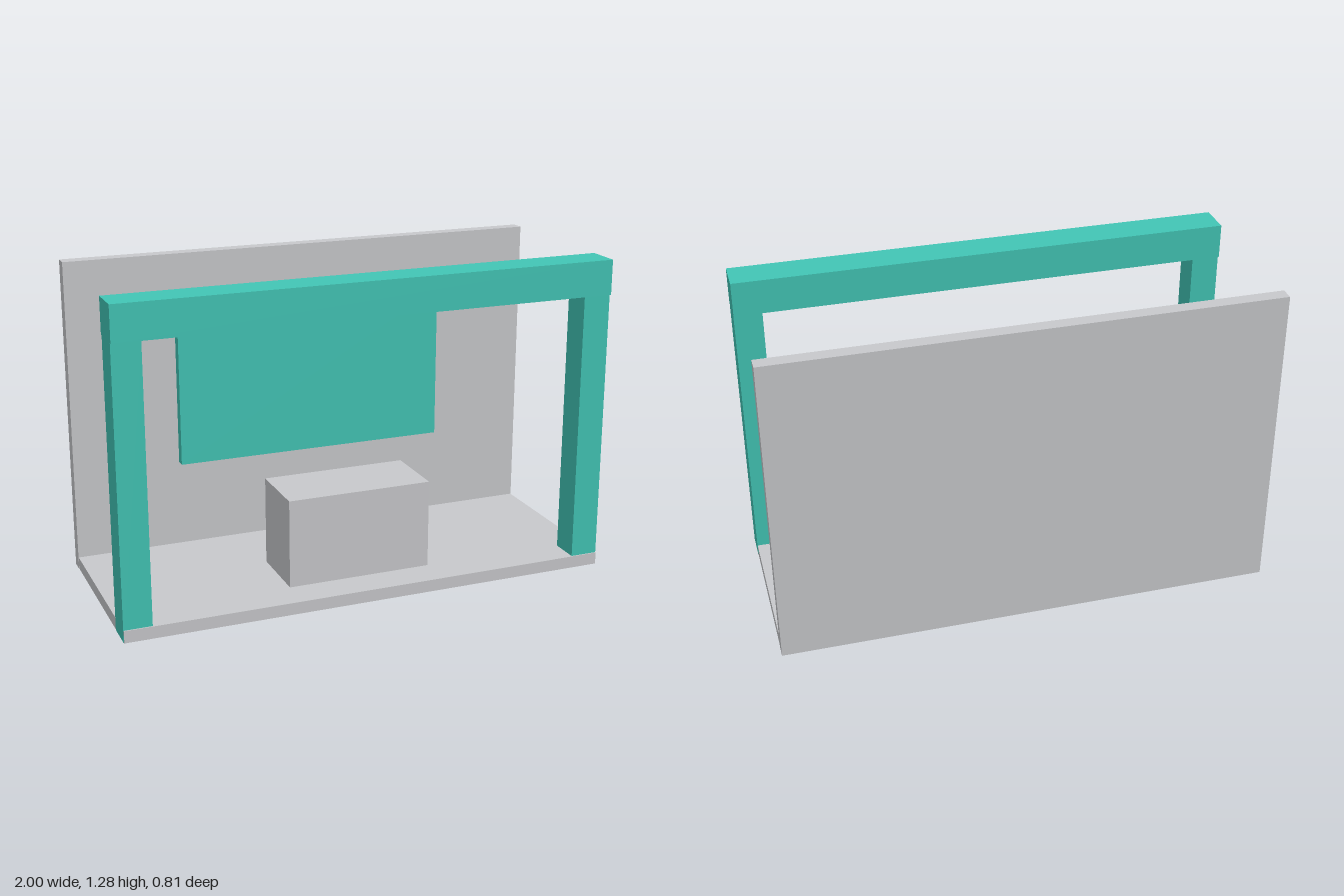
import * as THREE from 'three';

const material = (name, color) => {
  const m = new THREE.MeshStandardMaterial({ color });
  m.name = name;
  return m;
};

export function createModel() {
  const teal = material('teal', 0x42c5b5);
  const grey = material('light grey', 0xc8c9cc);
  const slate = material('slate blue', 0x4a6e8a);
  const model = new THREE.Group();
  model.name = 'exhibitionStand';

  // Box given by its extents along each axis
  const box = (name, mat, [x0, x1], [y0, y1], [z0, z1]) => {
    const mesh = new THREE.Mesh(new THREE.BoxGeometry(x1 - x0, y1 - y0, z1 - z0), mat);
    mesh.position.set((x0 + x1) / 2, (y0 + y1) / 2, (z0 + z1) / 2);
    mesh.name = name;
    model.add(mesh);
  };

  // Floor and back wall; the floor is a hair smaller so the post faces stay clean
  box('floor', grey, [-0.999, 0.999], [0.001, 0.05], [-0.36, 0.398]);
  box('backWall', grey, [-1, 1], [0, 1.283], [-0.403, -0.347]);

  // Front frame: two posts carrying a beam
  for (const [name, side] of [['leftPost', 1], ['rightPost', -1]]) {
    const inner = 0.888 * side;
    box(name, teal, [Math.min(inner, side), Math.max(inner, side)], [0, 1.143], [0.273, 0.393]);
  }
  box('beam', teal, [-1, 1], [1.143, 1.283], [0.263, 0.403]);

  // Counter standing on the floor
  box('counter', grey, [-0.297, 0.297], [0.05, 0.41], [-0.022, 0.257]);

  // Display panel with a smaller backing plate
  box('displayPanel', teal, [-0.57, 0.57], [0.422, 1.062], [-0.31, -0.271]);
  box('displayBacking', slate, [-0.549, 0.549], [0.456, 1.028], [-0.331, -0.31]);

  return model;
}
